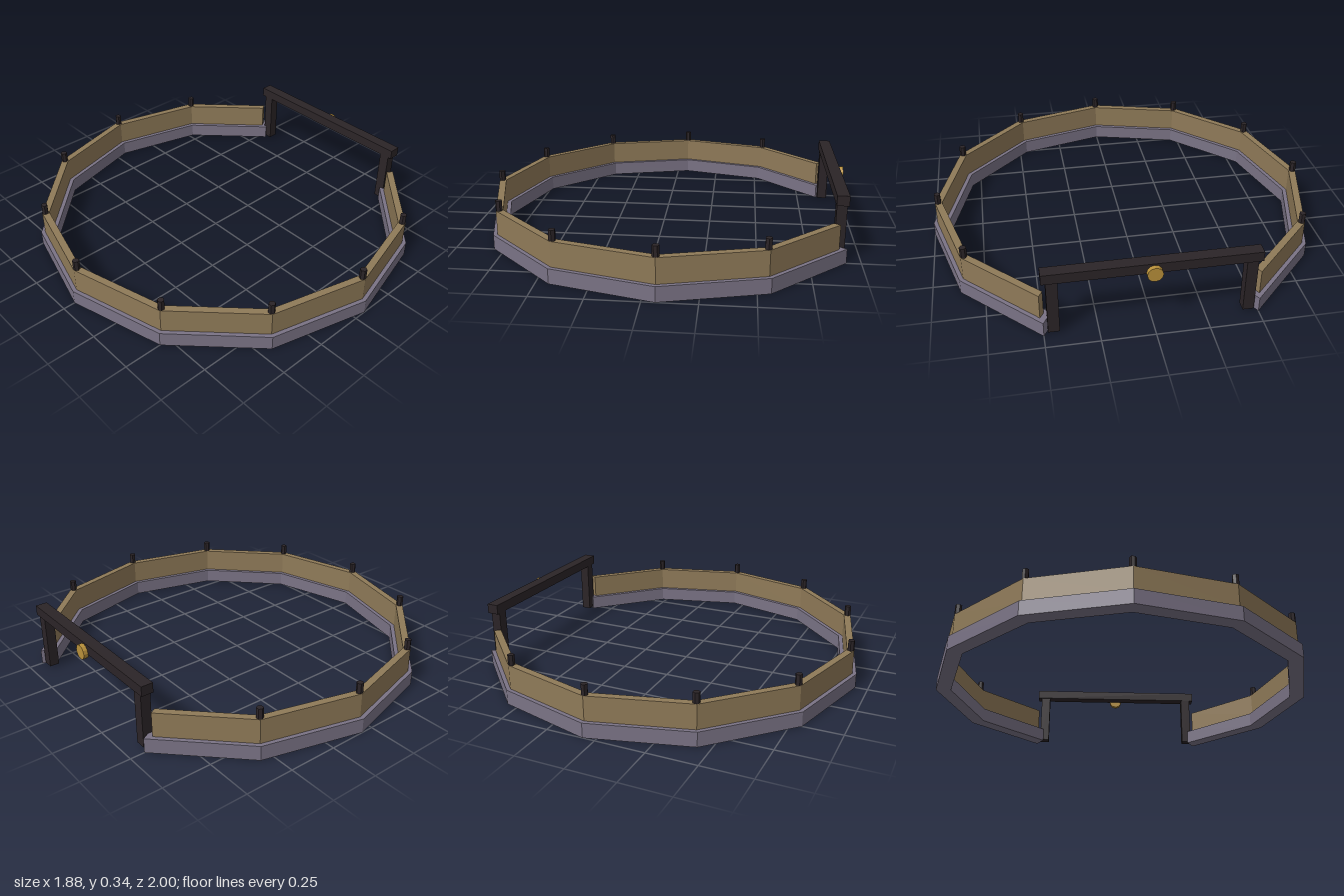
import * as THREE from 'three';

const CENTER_X = 0.062;
const STEP = Math.PI / 6;

const material = (color) => new THREE.MeshStandardMaterial({ color, flatShading: true });

// Corners of the open twelve-sided ring, with both ends trimmed along their sides
function ringCorners(radius, trim) {
  const points = [];
  for (let i = 1; i <= 11; i++) {
    points.push(new THREE.Vector2(Math.cos(i * STEP), Math.sin(i * STEP)).multiplyScalar(radius));
  }
  points[0].lerp(points[1], trim);
  points[10].lerp(points[9], trim);
  return points;
}

// Band of the ring between two radii and two heights
function ringBand(inner, outer, bottom, top, trim) {
  const outline = [...ringCorners(outer, trim), ...ringCorners(inner, trim).reverse()];
  const geometry = new THREE.ExtrudeGeometry(new THREE.Shape(outline), {
    depth: top - bottom, bevelEnabled: false,
  });
  geometry.rotateX(-Math.PI / 2);
  geometry.translate(CENTER_X, bottom, 0);
  return geometry;
}

export function createModel() {
  const model = new THREE.Group();
  const stone = material(0x7a7385);
  const wood = material(0x8f7a58);
  const iron = material(0x2b2427);
  const brass = material(0xb8903a);

  const add = (name, geometry, mat, x = 0, y = 0, z = 0, parent = model) => {
    const mesh = new THREE.Mesh(geometry, mat);
    mesh.name = name;
    mesh.position.set(x, y, z);
    parent.add(mesh);
    return mesh;
  };

  // Stone footing and the thinner wall standing on it
  add('footing', ringBand(0.92, 1.0, 0, 0.075, 0), stone);
  add('wall', ringBand(0.942, 0.979, 0.075, 0.2, 0.06), wood);

  // Small post at each corner, except the two at the gate
  const posts = new THREE.Group();
  posts.name = 'fencePosts';
  model.add(posts);
  const postGeometry = new THREE.CylinderGeometry(0.017, 0.017, 0.183, 6);
  for (let i = 2; i <= 10; i++) {
    const a = i * STEP;
    const post = add('fencePost', postGeometry, iron,
      CENTER_X + 0.962 * Math.cos(a), 0.1615, 0.962 * Math.sin(a), posts);
    post.rotation.y = -a;
  }

  // Gate: two uprights, a crossbeam and a round medallion on its outer face
  const gate = new THREE.Group();
  gate.name = 'gate';
  model.add(gate);
  for (const side of [-1, 1]) {
    add('gateUpright', new THREE.BoxGeometry(0.05, 0.285, 0.053), iron, 0.892, 0.1525, side * 0.453, gate);
  }
  add('gateBeam', new THREE.BoxGeometry(0.06, 0.05, 1.0), iron, 0.893, 0.315, 0, gate);
  const medallion = new THREE.CylinderGeometry(0.037, 0.037, 0.026, 12);
  medallion.rotateZ(Math.PI / 2);
  add('gateMedallion', medallion, brass, 0.932, 0.296, 0, gate);

  return model;
}
